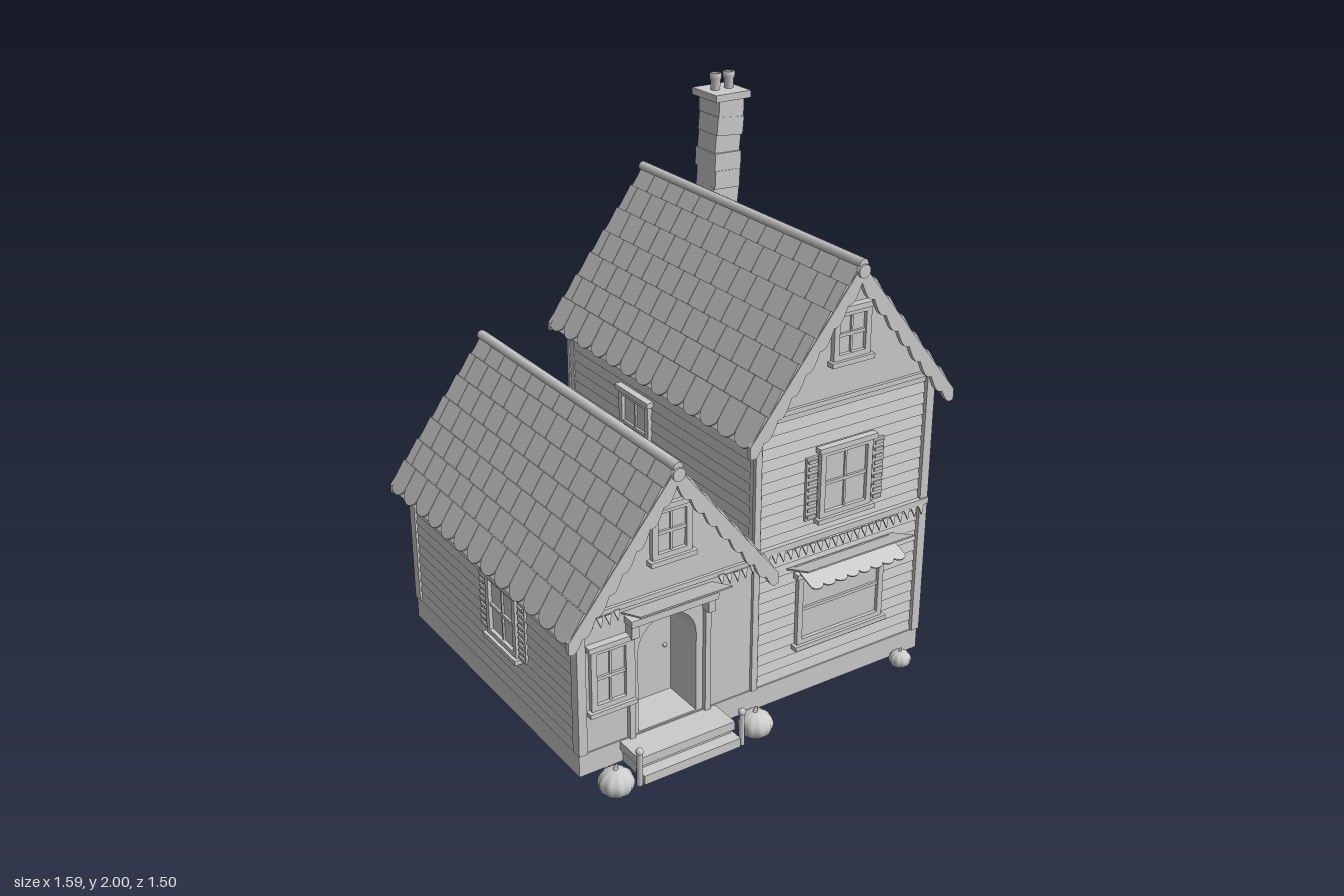
import * as THREE from 'three';
import { mergeGeometries } from 'three/addons/utils/BufferGeometryUtils.js';

const grey = new THREE.MeshStandardMaterial({ color: 0xcccccc });
grey.name = 'plain grey';
const FRONT = 0.535, BACK = -0.69, MIDZ = -0.08, ROOFLEN = 1.33;

function add(parent, name, geo, x = 0, y = 0, z = 0, ry = 0) {
  const m = new THREE.Mesh(geo, grey);
  m.name = name;
  m.position.set(x, y, z);
  m.rotation.y = ry;
  parent.add(m);
  return m;
}
// box given by its limits
const span = (parent, name, x0, x1, y0, y1, z0, z1) =>
  add(parent, name, new THREE.BoxGeometry(x1 - x0, y1 - y0, z1 - z0), (x0 + x1) / 2, (y0 + y1) / 2, (z0 + z1) / 2);
const poly = pts => new THREE.Shape(pts.map(p => new THREE.Vector2(...p)));
const rect = (x0, x1, y0, y1) => poly([[x0, y0], [x1, y0], [x1, y1], [x0, y1]]);
const extrude = (shape, depth, curveSegments = 10) =>
  new THREE.ExtrudeGeometry(shape, { depth, bevelEnabled: false, curveSegments });
function arch(r, y0, y1) {
  const s = new THREE.Shape();
  s.moveTo(-r, y0); s.lineTo(r, y0); s.lineTo(r, y1);
  s.absarc(0, y1, r, 0, Math.PI, false);
  s.closePath();
  return s;
}

// lapped board wall, facing local +x
function siding(parent, name, length, y0, y1, x, z, ry) {
  const pts = [[-0.03, y0]], n = Math.round((y1 - y0) / 0.042), step = (y1 - y0) / n;
  for (let i = 0; i < n; i++) pts.push([0, y0 + i * step], [-0.008, y0 + (i + 1) * step]);
  pts.push([-0.03, y1]);
  const g = extrude(poly(pts), length);
  g.translate(0, 0, -length / 2);
  add(parent, name, g, x, 0, z, ry);
}

// sash window facing local +z, origin at its centre
function windowUnit(parent, name, x, y, z, ry, w, h, { shutters = false, cols = 2 } = {}) {
  const g = new THREE.Group();
  g.name = name;
  g.position.set(x, y, z);
  g.rotation.y = ry;
  parent.add(g);
  const a = w / 2 - 0.012, b = h / 2 - 0.015;
  const frame = rect(-a, a, -b, b);
  frame.holes.push(rect(-a + 0.022, a - 0.022, -b + 0.022, b - 0.022));
  add(g, 'frame', extrude(frame, 0.018));
  span(g, 'pane', -a + 0.01, a - 0.01, -b + 0.01, b - 0.01, 0, 0.004);
  span(g, 'meetingRail', -a + 0.02, a - 0.02, -0.006, 0.006, 0, 0.013);
  for (let i = 1; i < cols; i++) {
    const mx = -a + 2 * a * i / cols;
    span(g, 'glazingBar', mx - 0.004, mx + 0.004, -b + 0.02, b - 0.02, 0, 0.011);
  }
  span(g, 'sill', -w / 2, w / 2, -h / 2, -h / 2 + 0.018, 0, 0.03);
  span(g, 'lintel', -w / 2, w / 2, h / 2 - 0.02, h / 2, 0, 0.028);
  if (shutters) for (const s of [-1, 1]) {
    const sx = s * (w / 2 + 0.02);
    span(g, 'shutter', sx - 0.024, sx + 0.024, -h / 2 + 0.02, h / 2 - 0.03, 0, 0.01);
    for (let i = 0; i < 9; i++) {
      const ly = -h / 2 + 0.035 + i * (h - 0.08) / 8;
      span(g, 'louvre', sx - 0.018, sx + 0.018, ly - 0.006, ly + 0.006, 0.01, 0.016);
    }
  }
}

// gabled roof: slabs, scalloped shingles, ridge, barge boards
function roof(parent, name, cx, ridgeY, dx, dy) {
  const g = new THREE.Group();
  g.name = name;
  g.position.set(cx, ridgeY, MIDZ);
  parent.add(g);
  const L = Math.hypot(dx, dy), rows = 7, p = L / rows, cols = 13, w = ROOFLEN / cols, ryy = 0.042;
  const s = new THREE.Shape();
  s.moveTo(w * 0.49, 0.03); s.lineTo(-w * 0.49, 0.03); s.lineTo(-w * 0.49, -p + ryy);
  s.absellipse(0, -p + ryy, w * 0.49, ryy, Math.PI, Math.PI * 2, false);
  s.closePath();
  const tile = extrude(s, 0.012, 8);
  tile.rotateX(0.1);
  for (const side of [-1, 1]) {
    const slope = new THREE.Group();
    slope.name = 'slope';
    const up = new THREE.Vector3(-side * dx, dy, 0).divideScalar(L);
    const out = new THREE.Vector3(side * dy, dx, 0).divideScalar(L);
    slope.quaternion.setFromRotationMatrix(new THREE.Matrix4().makeBasis(up.clone().cross(out), up, out));
    g.add(slope);
    span(slope, 'roofSlab', -ROOFLEN / 2, ROOFLEN / 2, -L, 0, -0.02, 0);
    const tiles = [];
    for (let r = 0; r < rows; r++) {
      const odd = r % 2;
      for (let c = 0; c < cols + odd; c++) {
        const t = tile.clone(), end = odd && (c === 0 || c === cols);
        if (end) t.scale(0.5, 1, 1);
        const x = odd ? c * w + (c === 0 ? w / 4 : c === cols ? -w / 4 : 0) : (c + 0.5) * w;
        tiles.push(t.translate(x - ROOFLEN / 2, -r * p - 0.006, 0.001));
      }
    }
    add(slope, 'shingles', mergeGeometries(tiles));
    // front board has a wavy lower edge, the back one is plain
    for (const [z, depth, wave] of [[ROOFLEN / 2 - 0.015, 0.055, 0.022], [-ROOFLEN / 2 - 0.003, 0.035, 0]]) {
      const pts = [[0, 0.01], [side * dx, -dy + 0.01]];
      for (let i = 64; i >= 0; i--) {
        const t = i / 64;
        pts.push([side * dx * t, -dy * t - depth * (0.55 + 0.45 * Math.min(1, (1 - t) * 8)) - wave * Math.abs(Math.sin(t * Math.PI * 8))]);
      }
      add(g, 'bargeBoard', extrude(poly(pts), 0.018), 0, 0, z);
    }
  }
  add(g, 'ridgeCap', new THREE.CylinderGeometry(0.019, 0.019, ROOFLEN + 0.015, 8).rotateX(Math.PI / 2), 0, 0.012, 0);
  add(g, 'finial', new THREE.CylinderGeometry(0.024, 0.024, 0.02, 12).rotateX(Math.PI / 2), 0, -0.012, ROOFLEN / 2 + 0.005);
}

function pumpkin(parent, x, z, r) {
  const geo = new THREE.SphereGeometry(r, 40, 16), pos = geo.attributes.position;
  for (let i = 0; i < pos.count; i++) {
    const px = pos.getX(i), pz = pos.getZ(i);
    const k = 1 - 0.08 * (1 - Math.abs(Math.cos(Math.atan2(pz, px) * 5)));
    pos.setXYZ(i, px * k, pos.getY(i) * 0.8, pz * k);
  }
  geo.computeVertexNormals();
  add(parent, 'pumpkin', geo, x, r * 0.82, z);
  add(parent, 'pumpkinStem', new THREE.CylinderGeometry(r * 0.08, r * 0.15, r * 0.4, 6), x, r * 1.7, z).rotation.z = -0.3;
}

// row of hanging pennants along the front
function bunting(parent, x0, x1, y, n) {
  const w = (x1 - x0) / n, flag = extrude(poly([[-w * 0.38, 0], [0, -0.036], [w * 0.38, 0]]), 0.006);
  for (let i = 0; i < n; i++) {
    const m = add(parent, 'pennant', flag, x0 + (i + 0.5) * w, y - 0.012 * Math.sin((i + 0.5) / n * Math.PI), FRONT + 0.012);
    m.rotation.x = -0.25;
  }
}

export function createModel() {
  const house = new THREE.Group();
  house.name = 'house';
  const P = Math.PI;

  // foundation, open under the main part
  const base = rect(-0.735, 0.735, -0.54, 0.695);
  base.holes.push(rect(-0.70, -0.05, -0.505, 0.66), rect(0, 0.70, -0.505, 0.66));
  add(house, 'foundation', extrude(base, 0.085).rotateX(-P / 2));
  span(house, 'wingFloor', -0.71, -0.04, 0.03, 0.05, -0.67, 0.52);

  // main part walls
  const depth = FRONT - BACK;
  siding(house, 'mainRightWall', depth, 0.085, 1.1, 0.733, (FRONT + BACK) / 2, 0);
  siding(house, 'mainLeftWall', depth, 0.085, 1.1, -0.03, (FRONT + BACK) / 2, P);
  siding(house, 'mainBackWall', 0.763, 0.085, 1.1, 0.3515, BACK, P / 2);
  siding(house, 'mainFrontWall', 0.763, 0.085, 1.1, 0.3515, FRONT, -P / 2);
  // wing walls
  siding(house, 'wingLeftWall', depth, 0.085, 0.593, -0.733, (FRONT + BACK) / 2, P);
  siding(house, 'wingBackWall', 0.703, 0.085, 0.593, -0.3815, BACK, P / 2);
  const wingFront = rect(-0.353, 0.35, 0.085, 0.593);
  wingFront.holes.push(arch(0.117, 0.09, 0.4));
  add(house, 'wingFrontWall', extrude(wingFront, 0.03), -0.38, 0, FRONT - 0.03);
  // gables
  for (const [cx, hw, y0, y1] of [[0.35, 0.38, 1.1, 1.58], [-0.375, 0.355, 0.593, 1.04]])
    for (const z of [FRONT - 0.03, BACK])
      add(house, 'gable', extrude(poly([[-hw, y0], [hw, y0], [0, y1]]), 0.03), cx, 0, z);
  // trims and corner boards
  for (const z of [FRONT + 0.004, BACK - 0.004]) {
    span(house, 'mainGableTrim', -0.03, 0.73, 1.125, 1.143, z - 0.008, z + 0.008);
    span(house, 'wingGableTrim', -0.72, -0.03, 0.6, 0.618, z - 0.008, z + 0.008);
    for (const [x0, x1, y] of [[0.703, 0.738, 1.12], [-0.035, -0.01, 1.12], [-0.738, -0.705, 0.6]])
      span(house, 'cornerBoard', x0, x1, 0.085, y, z - 0.008, z + 0.008);
  }
  for (const z of [FRONT - 0.012, BACK + 0.012]) {
    span(house, 'sideCornerBoard', 0.72, 0.738, 0.085, 1.1, z - 0.018, z + 0.018);
    span(house, 'sideCornerBoard', -0.738, -0.72, 0.085, 0.6, z - 0.018, z + 0.018);
  }
  span(house, 'stringCourse', -0.03, 0.738, 0.615, 0.64, FRONT, FRONT + 0.018);

  roof(house, 'mainRoof', 0.35, 1.61, 0.44, 0.55);
  roof(house, 'wingRoof', -0.375, 1.07, 0.415, 0.515);

  // chimney of slightly crooked courses
  for (let i = 0; i < 9; i++) {
    const y = 1.3 + i * 0.068, t = i / 8;
    const m = add(house, 'chimneyCourse', new THREE.BoxGeometry(0.112 + 0.006 * (i % 2), 0.07, 0.118 + 0.008 * (i % 3)),
      0.547 + 0.02 * t * t, y + 0.034, -0.537 + 0.004 * Math.sin(i * 2));
    m.rotation.z = -0.06 + 0.04 * Math.sin(i * 1.7);
  }
  span(house, 'chimneyCap', 0.488, 0.645, 1.91, 1.937, -0.618, -0.458);
  for (const x of [0.54, 0.6]) {
    const pot = new THREE.LatheGeometry([[0.018, 0], [0.018, 0.035], [0.023, 0.045], [0.023, 0.064], [0.014, 0.064], [0.014, 0.03], [0, 0.03]]
      .map(q => new THREE.Vector2(...q)), 6);
    add(house, 'chimneyPot', pot, x, 1.936, -0.54);
  }

  // windows
  windowUnit(house, 'gableWindow', 0.35, 1.365, FRONT, 0, 0.18, 0.21);
  windowUnit(house, 'upperFrontWindow', 0.35, 0.825, FRONT, 0, 0.25, 0.29, { shutters: true });
  windowUnit(house, 'shopWindow', 0.35, 0.35, FRONT, 0, 0.41, 0.31, { cols: 1 });
  windowUnit(house, 'wingGableWindow', -0.37, 0.835, FRONT, 0, 0.18, 0.22);
  windowUnit(house, 'wingFrontWindow', -0.61, 0.365, FRONT, 0, 0.18, 0.27);
  windowUnit(house, 'upperRightWindow', 0.728, 0.815, -0.24, P / 2, 0.225, 0.29);
  windowUnit(house, 'lowerRightWindow', 0.728, 0.365, 0.085, P / 2, 0.24, 0.29, { shutters: true });
  windowUnit(house, 'upperLeftWindow', -0.025, 0.815, -0.21, -P / 2, 0.225, 0.29);
  windowUnit(house, 'lowerLeftWindow', -0.728, 0.375, 0.03, -P / 2, 0.24, 0.28, { shutters: true });
  add(house, 'wingWindowHood', extrude(poly([[-0.08, 0.93], [0.08, 0.93], [0.045, 1.0], [-0.045, 1.0]]), 0.012), -0.37, 0, FRONT);

  // recessed doorway
  const tunnel = arch(0.13, 0.085, 0.4);
  tunnel.holes.push(arch(0.117, 0.09, 0.4));
  add(house, 'doorRecess', extrude(tunnel, 0.16), -0.38, 0, FRONT - 0.165);
  add(house, 'door', extrude(arch(0.12, 0.085, 0.4), 0.02), -0.38, 0, FRONT - 0.18);
  add(house, 'doorKnob', new THREE.SphereGeometry(0.008, 10, 8), -0.29, 0.28, FRONT - 0.155);
  for (const x of [-0.53, -0.225]) {
    span(house, 'doorPilaster', x - 0.011, x + 0.011, 0.085, 0.55, FRONT, FRONT + 0.018);
    span(house, 'doorBracket', x - 0.014, x + 0.014, 0.49, 0.55, FRONT, FRONT + 0.04);
  }
  span(house, 'doorLintel', -0.55, -0.205, 0.54, 0.565, FRONT, FRONT + 0.05);

  // canopies that tip up, and the scalloped shop flap
  const canopy = (name, x0, x1, y0, y1) => add(house, name,
    extrude(poly([[0, y0], [0.12, y1], [0.12, y1 + 0.006], [0, y0 + 0.006]]), x1 - x0), x1, 0, FRONT, -P / 2);
  canopy('doorCanopy', -0.56, -0.2, 0.575, 0.618);
  canopy('shopCanopy', 0.115, 0.59, 0.525, 0.57);
  const flap = new THREE.Shape();
  flap.moveTo(-0.21, 0); flap.lineTo(-0.21, -0.1);
  for (let i = 0; i < 8; i++) flap.absellipse(-0.21 + (i + 0.5) * 0.0525, -0.1, 0.02625, 0.018, P, 2 * P, false);
  flap.lineTo(0.21, 0);
  add(house, 'shopFlap', extrude(flap, 0.005, 6), 0.35, 0.535, FRONT + 0.012).rotation.x = -1.2;

  bunting(house, -0.70, -0.57, 0.61, 4);
  bunting(house, -0.19, -0.03, 0.61, 5);
  bunting(house, 0.0, 0.72, 0.618, 22);

  // porch steps with posts
  span(house, 'porchLanding', -0.575, -0.185, 0.05, 0.083, 0.53, 0.66);
  span(house, 'porchRiser', -0.565, -0.195, 0, 0.05, 0.53, 0.65);
  span(house, 'lowerStep', -0.575, -0.185, 0, 0.035, 0.64, 0.695);
  for (const x of [-0.587, -0.173]) {
    add(house, 'porchPost', new THREE.CylinderGeometry(0.011, 0.011, 0.125, 10), x, 0.0625, 0.683);
    add(house, 'postBall', new THREE.SphereGeometry(0.014, 12, 8), x, 0.132, 0.683);
  }

  pumpkin(house, -0.68, 0.685, 0.063);
  pumpkin(house, -0.105, 0.67, 0.063);
  pumpkin(house, 0.597, 0.61, 0.042);
  return house;
}
